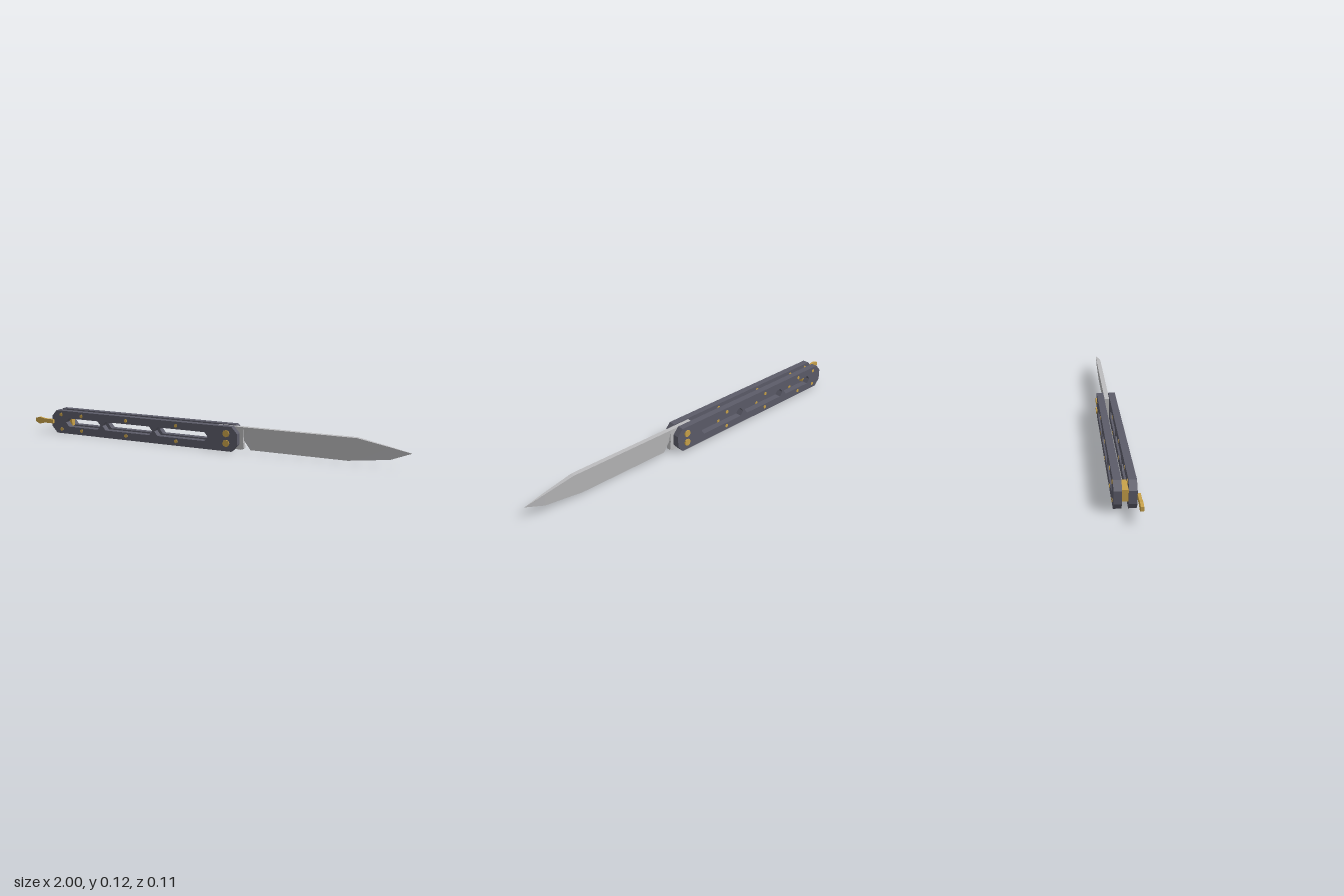
import * as THREE from 'three';

const mat = (name, color) => Object.assign(new THREE.MeshStandardMaterial({ color }), { name });

export function createModel() {
  const root = new THREE.Group();
  root.name = 'foldingKnife';
  const slate = mat('slateHandle', 0x5c5c69);
  const steel = mat('bladeSteel', 0xbcbcbe);
  const brass = mat('brass', 0xc9a24a);
  const MID = -0.0035; // centre plane of the handle and blade

  const add = (name, geometry, material) => {
    const mesh = new THREE.Mesh(geometry, material);
    mesh.name = name;
    root.add(mesh);
    return mesh;
  };
  const outline = (pts) => pts.map(([x, y]) => new THREE.Vector2(x, y));
  // Flat part with the given outline between two z planes
  const slab = (pts, z0, z1, holes = []) => {
    const shape = new THREE.Shape(outline(pts));
    holes.forEach((h) => shape.holes.push(new THREE.Path(outline(h))));
    return new THREE.ExtrudeGeometry(shape, { depth: z1 - z0, bevelEnabled: false }).translate(0, 0, z0);
  };
  // Faceted pin along z
  const pin = (name, x, y, r, z0, z1, sides) => {
    const g = new THREE.CylinderGeometry(r, r, z1 - z0, sides).toNonIndexed();
    g.computeVertexNormals();
    g.rotateX(Math.PI / 2).translate(x, y, (z0 + z1) / 2);
    add(name, g, brass);
  };

  // Handle plates with three pointed slots
  const plate = [[-0.87, 0], [0.148, 0], [0.178, 0.034], [0.178, 0.09], [0.148, 0.124],
    [-0.87, 0.124], [-0.9, 0.09], [-0.9, 0.034]];
  const slots = [[-0.812, -0.595], [-0.583, -0.287], [-0.275, 0.022]].map(([a, b]) => [
    [a, 0.063], [a + 0.018, 0.085], [b - 0.018, 0.085], [b, 0.063], [b - 0.018, 0.04], [a + 0.018, 0.04]]);
  const layers = [['frontPlate', 0.01, 0.043], ['backPlate', -0.05, -0.017]];
  for (const [name, z0, z1] of layers) {
    add(name, slab(plate, z0, z1, slots), slate);
    // Small screws along both edges
    for (const x of [-0.84, -0.713, -0.442, -0.153])
      for (const y of [0.023, 0.103]) pin('screw', x, y, 0.01, z0 - 0.002, z1 + 0.003, 6);
  }

  // Blade pivots
  for (const y of [0.04, 0.089]) pin('pivot', 0.12, y, 0.018, -0.056, 0.048, 8);

  // Brass spacer and latch at the butt
  add('spacer', new THREE.BoxGeometry(0.09, 0.05, 0.027).translate(-0.84, 0.0625, MID), brass);
  add('latch', slab([[-1, 0.055], [-0.975, 0.043], [-0.94, 0.052], [-0.888, 0.052],
    [-0.888, 0.074], [-0.94, 0.074], [-0.975, 0.081], [-1, 0.073]], 0.043, 0.056), brass);

  // Tang between the plates
  add('tang', slab([[0.06, 0.012], [0.185, 0.006], [0.2, 0.012], [0.195, 0.055], [0.195, 0.12], [0.06, 0.12]],
    MID - 0.0115, MID + 0.0115), steel);

  // Blade: wedge sections [x, spine y, edge y, half thickness]
  const sections = [[0.19, 0.12, 0.06, 0.0115], [0.23, 0.12, 0.006, 0.0115], [0.71, 0.12, 0.006, 0.0115],
    [0.75, 0.12, 0.012, 0.011], [0.9, 0.091, 0.031, 0.006], [0.995, 0.071, 0.07, 0.0003]];
  const rings = sections.map(([x, top, edge, t]) => [[x, top, MID + t], [x, top, MID - t], [x, edge, MID]]);
  const pos = [];
  for (let i = 0; i < rings.length - 1; i++) {
    const a = rings[i], b = rings[i + 1];
    for (let j = 0; j < 3; j++) {
      const k = (j + 1) % 3;
      pos.push(...a[j], ...b[j], ...b[k], ...a[j], ...b[k], ...a[k]);
    }
  }
  const first = rings[0], last = rings[rings.length - 1];
  pos.push(...first[0], ...first[1], ...first[2], ...last[0], ...last[2], ...last[1]);
  const blade = new THREE.BufferGeometry();
  blade.setAttribute('position', new THREE.Float32BufferAttribute(pos, 3));
  blade.computeVertexNormals();
  add('blade', blade, steel);

  return root;
}
